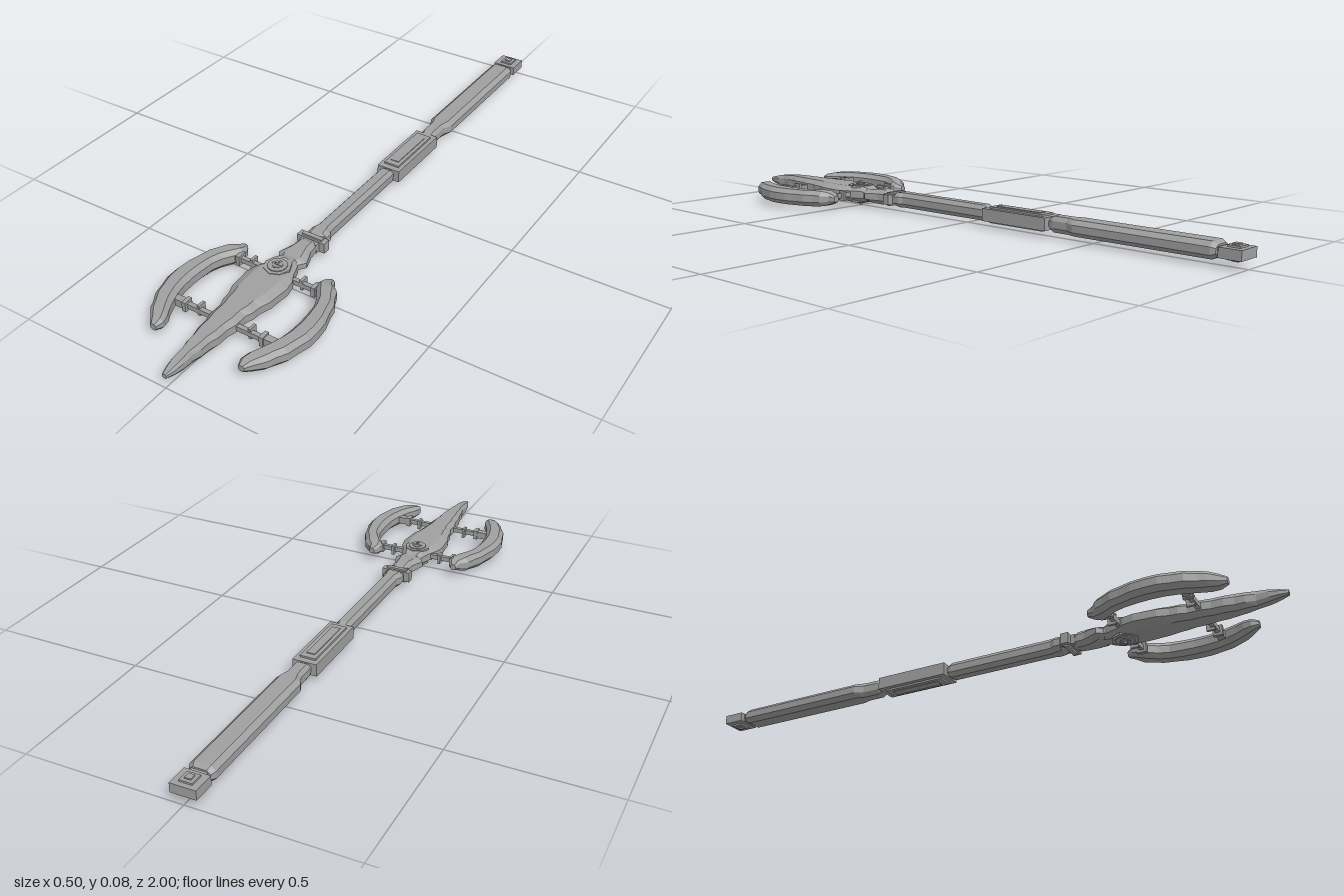
import * as THREE from 'three';

const MID = 0.042; // height of the weapon's centre plane
const steel = new THREE.MeshStandardMaterial({ color: 0xa0a0a0, flatShading: true });
steel.name = 'grey steel';

// Bevelled solid along z from stations [z, xMin, xMax, halfHeight]
function loft(stations, flat = 0.55, band = 0.45) {
  const rings = stations.map(([z, x0, x1, h]) => {
    const c = (x0 + x1) / 2, w = (x1 - x0) / 2, f = w * flat, b = h * band;
    return [[w, -b], [w, b], [f, h], [-f, h], [-w, b], [-w, -b], [-f, -h], [f, -h]]
      .map(([x, y]) => [c + x, MID + y, z]);
  });
  const pos = [];
  const tri = (...pts) => pts.forEach(p => pos.push(...p));
  for (let i = 0; i < rings.length - 1; i++) {
    const p = rings[i], q = rings[i + 1];
    for (let j = 0; j < 8; j++) {
      const k = (j + 1) % 8;
      tri(p[j], p[k], q[k]);
      tri(p[j], q[k], q[j]);
    }
  }
  const first = rings[0], last = rings[rings.length - 1];
  for (let j = 1; j < 7; j++) {
    tri(first[0], first[j + 1], first[j]);
    tri(last[0], last[j], last[j + 1]);
  }
  const g = new THREE.BufferGeometry();
  g.setAttribute('position', new THREE.Float32BufferAttribute(pos, 3));
  g.computeVertexNormals();
  return g;
}

const symmetric = list => list.map(([z, w, h]) => [z, -w, w, h]);

export function createModel() {
  const root = new THREE.Group();
  root.name = 'ceremonialMace';
  const add = (name, geometry, x = 0, y = 0, z = 0) => {
    const m = new THREE.Mesh(geometry, steel);
    m.name = name;
    m.position.set(x, y, z);
    root.add(m);
    return m;
  };
  const box = (name, w, h, d, x, z) => add(name, new THREE.BoxGeometry(w, h, d), x, MID, z);

  // Pommel block with raised squares on both faces
  box('pommel', 0.08, 0.03, 0.07, 0, -0.965);
  box('pommelPlate', 0.04, 0.042, 0.04, 0, -0.965);
  box('pommelStud', 0.02, 0.05, 0.02, 0, -0.965);
  box('pommelNeck', 0.05, 0.024, 0.04, 0, -0.925);

  // Rear shaft, wide then narrowing to the grip
  add('rearShaft', loft(symmetric([
    [-0.92, 0.033, 0.017], [-0.905, 0.04, 0.025], [-0.45, 0.04, 0.025],
    [-0.42, 0.026, 0.025], [-0.365, 0.025, 0.025], [-0.35, 0.021, 0.016],
  ]), 0.62));

  // Grip block with stepped panels
  box('grip', 0.08, 0.04, 0.25, 0, -0.225);
  box('gripPanel', 0.052, 0.052, 0.21, 0, -0.225);
  box('gripInset', 0.028, 0.057, 0.17, 0, -0.225);

  // Front shaft and collar
  add('frontShaft', loft(symmetric([
    [-0.1, 0.02, 0.016], [-0.085, 0.025, 0.025], [0.27, 0.025, 0.025],
    [0.285, 0.033, 0.025], [0.305, 0.033, 0.023], [0.315, 0.026, 0.016],
  ]), 0.55));
  box('collarCore', 0.06, 0.03, 0.05, 0, 0.33);
  box('collar', 0.098, 0.034, 0.026, 0, 0.328);
  box('collarBand', 0.07, 0.046, 0.014, 0, 0.328);

  // Neck with flared shoulders
  add('neck', loft(symmetric([
    [0.345, 0.026, 0.016], [0.36, 0.03, 0.025], [0.385, 0.032, 0.026],
    [0.41, 0.042, 0.024], [0.432, 0.05, 0.02], [0.45, 0.036, 0.02], [0.49, 0.034, 0.02],
  ]), 0.55));

  // Scalloped spear blade
  add('blade', loft(symmetric([
    [0.445, 0.03, 0.02], [0.465, 0.04, 0.027], [0.5, 0.052, 0.027],
    [0.525, 0.066, 0.027], [0.56, 0.073, 0.027], [0.6, 0.069, 0.027],
    [0.63, 0.067, 0.027], [0.665, 0.055, 0.027], [0.69, 0.053, 0.027],
    [0.715, 0.044, 0.027], [0.755, 0.045, 0.027], [0.785, 0.037, 0.027],
    [0.82, 0.036, 0.027], [0.85, 0.028, 0.027], [0.88, 0.026, 0.025],
    [0.91, 0.018, 0.023], [0.945, 0.019, 0.019], [0.975, 0.015, 0.013],
    [1, 0.007, 0.007],
  ]), 0.62));

  // Round boss and crossed pin through the blade
  const disc = (name, r, h, n) =>
    add(name, new THREE.CylinderGeometry(r, r, h, n), 0, MID, 0.505);
  disc('bossPlate', 0.042, 0.058, 8);
  disc('bossRing', 0.03, 0.064, 12);
  disc('bossHub', 0.016, 0.068, 8);
  box('bossPin', 0.009, 0.084, 0.009, 0, 0.505);
  box('bossCross', 0.034, 0.07, 0.006, 0, 0.505);
  box('bossCross', 0.006, 0.07, 0.034, 0, 0.505);

  // Curved side blades, as seen on the +x side
  const wing = [
    [0.455, 0.146, 0.164, 0.01], [0.475, 0.132, 0.174, 0.018], [0.495, 0.128, 0.198, 0.025],
    [0.52, 0.146, 0.208, 0.027], [0.55, 0.166, 0.225, 0.027], [0.58, 0.178, 0.231, 0.027],
    [0.62, 0.182, 0.244, 0.027], [0.66, 0.184, 0.248, 0.027], [0.7, 0.182, 0.247, 0.027],
    [0.735, 0.176, 0.237, 0.027], [0.77, 0.164, 0.229, 0.027], [0.8, 0.152, 0.211, 0.026],
    [0.825, 0.138, 0.2, 0.024], [0.85, 0.132, 0.178, 0.019], [0.872, 0.14, 0.16, 0.01],
  ];
  for (const s of [1, -1]) {
    const side = s > 0 ? 'left' : 'right';
    add(side + 'SideBlade',
      loft(s > 0 ? wing : wing.map(([z, a, b, h]) => [z, -b, -a, h]), 0.55));

    // Struts with collars joining each side blade to the centre
    for (const [z, tab] of [[0.508, -0.006], [0.75, -0.008]]) {
      box(side + 'Strut', 0.16, 0.016, 0.014, s * 0.11, z);
      box(side + 'StrutCollar', 0.009, 0.034, 0.026, s * 0.088, z + tab);
      box(side + 'StrutBracket', 0.013, 0.032, 0.03, s * 0.133, z);
      box(side + 'StrutSocket', 0.035, 0.024, 0.022, s * 0.155, z);
    }
  }
  return root;
}
